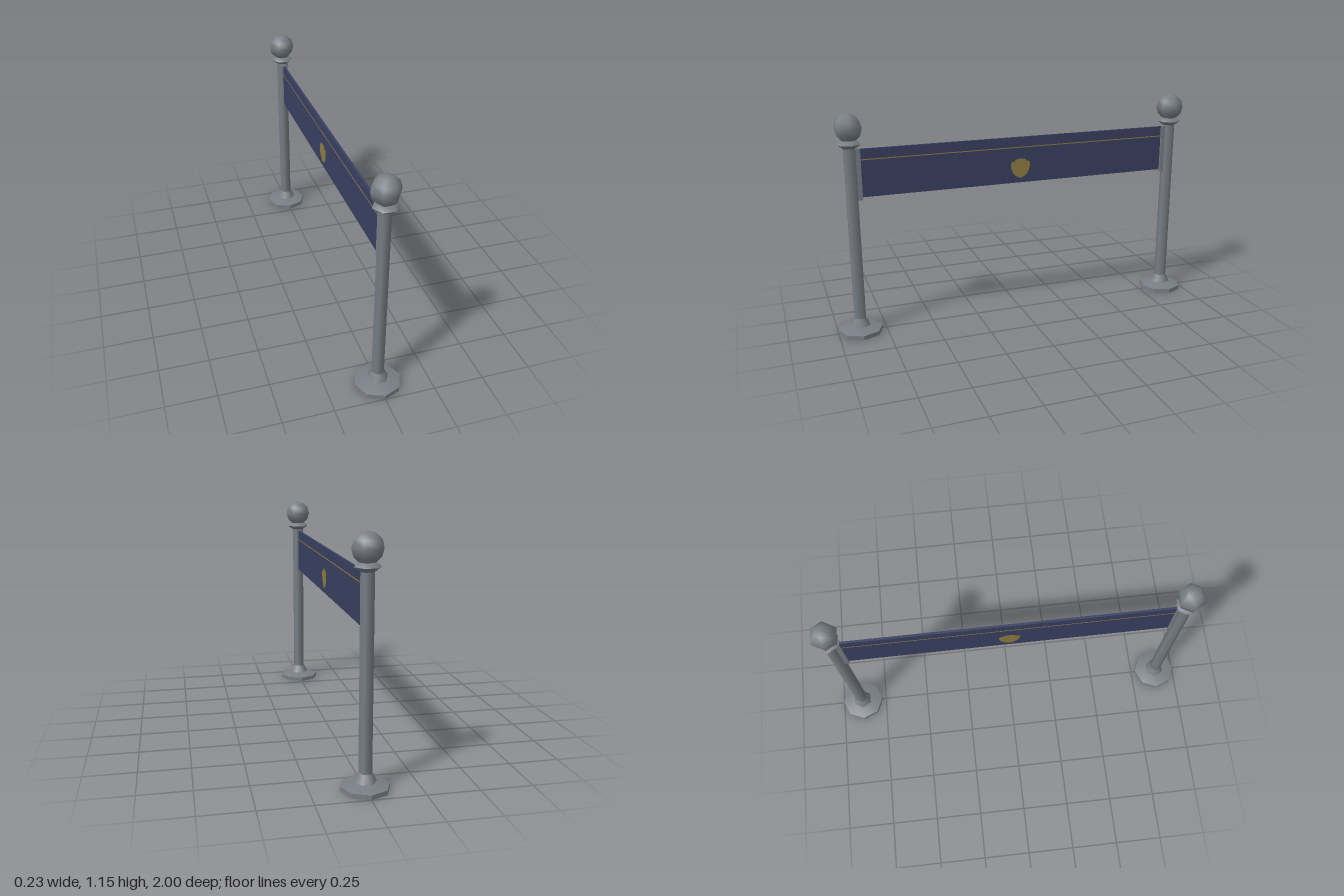
import * as THREE from 'three';
import { toCreasedNormals } from 'three/addons/utils/BufferGeometryUtils.js';

const steel = new THREE.MeshStandardMaterial({ color: 0x787e85 });
steel.name = 'greySteel';
const navy = new THREE.MeshStandardMaterial({ color: 0x394061 });
navy.name = 'navyCloth';
const gold = new THREE.MeshStandardMaterial({ color: 0x8f7c41 });
gold.name = 'goldTrim';

function addMesh(parent, name, geometry, material, x = 0, y = 0, z = 0) {
  const mesh = new THREE.Mesh(geometry, material);
  mesh.name = name;
  mesh.position.set(x, y, z);
  parent.add(mesh);
  return mesh;
}

// Turned part from [radius, height] pairs, with a corner on the x axis
function turned(points, sides) {
  const profile = points.map(([r, y]) => new THREE.Vector2(r, y));
  return new THREE.LatheGeometry(profile, sides, Math.PI / 2);
}

function createPost(name, z) {
  const post = new THREE.Group();
  post.name = name;
  post.position.z = z;
  // Octagonal foot with a sloped top
  const foot = turned([[0, 0], [0.115, 0], [0.115, 0.022], [0.055, 0.038], [0, 0.038]], 8);
  addMesh(post, 'foot', toCreasedNormals(foot, 0.5), steel);
  // Six-sided flare, shaft and collar
  addMesh(post, 'flare', turned([[0.054, 0.037], [0.032, 0.08]], 6), steel);
  addMesh(post, 'shaft', turned([[0.032, 0.075], [0.032, 0.985]], 6), steel);
  addMesh(post, 'collarLower', turned([[0, 0.978], [0.034, 0.978], [0.061, 0.998]], 6), steel);
  addMesh(post, 'collarUpper', turned([[0.061, 0.998], [0.04, 1.018], [0, 1.018]], 6), steel);
  // Ball finial
  addMesh(post, 'ball', new THREE.SphereGeometry(0.072, 6, 6), steel, 0, 1.077, 0);
  return post;
}

// Plain rounded badge with a notched top edge
function badgeGeometry() {
  const shape = new THREE.Shape();
  shape.moveTo(-0.053, 0.03);
  shape.bezierCurveTo(-0.056, -0.015, -0.035, -0.045, 0, -0.053);
  shape.bezierCurveTo(0.035, -0.045, 0.056, -0.015, 0.053, 0.03);
  for (const [u, v] of [[0.045, 0.04], [0.035, 0.034], [0.03, 0.047], [0.012, 0.052],
    [-0.012, 0.052], [-0.03, 0.047], [-0.035, 0.034], [-0.045, 0.04]]) shape.lineTo(u, v);
  shape.closePath();
  return new THREE.ShapeGeometry(shape, 8);
}

export function createModel() {
  const model = new THREE.Group();
  model.name = 'bannerBarrier';

  // Posts and the rails that clamp the banner ends
  for (const [label, s] of [['front', 1], ['back', -1]]) {
    model.add(createPost(label + 'Post', s * 0.885));
    addMesh(model, label + 'Rail', new THREE.BoxGeometry(0.03, 0.262, 0.024), steel, 0, 0.843, s * 0.846);
  }

  // Cloth banner
  addMesh(model, 'banner', new THREE.BoxGeometry(0.012, 0.245, 1.672), navy, 0, 0.8475, 0);

  // Gold stripe and badge on both faces
  for (const [label, s] of [['left', 1], ['right', -1]]) {
    addMesh(model, label + 'Stripe', new THREE.BoxGeometry(0.001, 0.005, 1.668), gold, s * 0.0065, 0.916, 0);
    const badge = addMesh(model, label + 'Badge', badgeGeometry(), gold, s * 0.0075, 0.803, 0);
    badge.rotation.y = s * Math.PI / 2;
  }
  return model;
}
